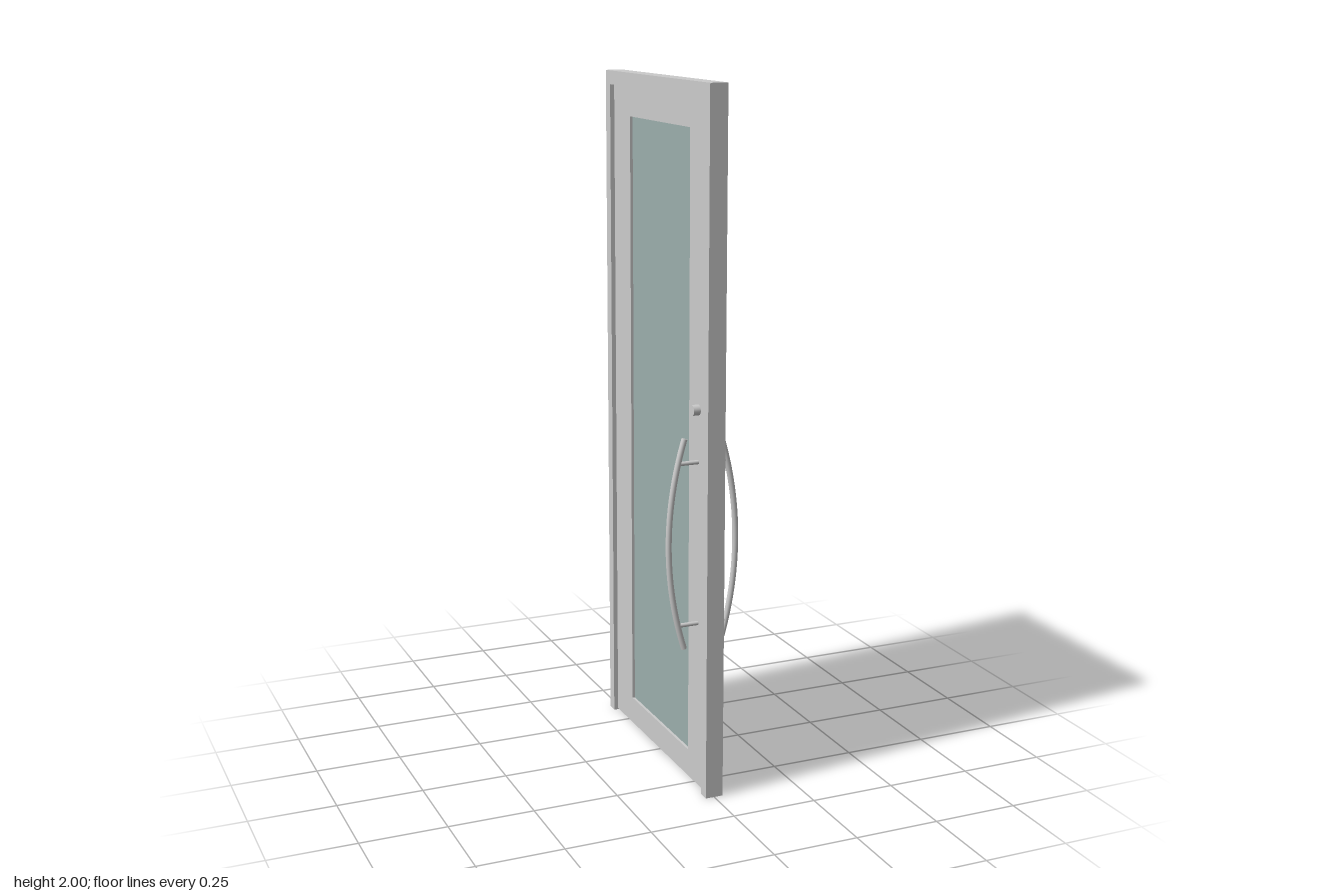
import * as THREE from 'three';

const steel = new THREE.MeshStandardMaterial({ color: 0xcccccc });
const glassTint = new THREE.MeshStandardMaterial({ color: 0x9baeac });

// rectangle outline in the door plane
function rect(PathType, halfWidth, y0, y1) {
  const p = new PathType();
  p.moveTo(-halfWidth, y0);
  p.lineTo(halfWidth, y0);
  p.lineTo(halfWidth, y1);
  p.lineTo(-halfWidth, y1);
  p.closePath();
  return p;
}

// extrude an outline to a slab centred on x = 0, lying in the zy plane
function slab(name, shape, halfDepth, material = steel) {
  const geo = new THREE.ExtrudeGeometry(shape, { depth: halfDepth * 2, bevelEnabled: false });
  geo.translate(0, 0, -halfDepth).rotateY(Math.PI / 2);
  const mesh = new THREE.Mesh(geo, material);
  mesh.name = name;
  return mesh;
}

// cylinder along x between two x positions
function rod(name, radius, xa, xb, y, z) {
  const geo = new THREE.CylinderGeometry(radius, radius, Math.abs(xb - xa), 24).rotateZ(Math.PI / 2);
  const mesh = new THREE.Mesh(geo, steel);
  mesh.position.set((xa + xb) / 2, y, z);
  mesh.name = name;
  return mesh;
}

// bowed pull handle with two posts; side is +1 or -1 along x
function pullHandle(side, z) {
  const handle = new THREE.Group();
  handle.name = side > 0 ? 'leftPullHandle' : 'rightPullHandle';
  const radius = 0.0085;
  const midY = 0.73;
  const bow = new THREE.QuadraticBezierCurve3(
    new THREE.Vector3(side * 0.055, midY - 0.305, z),
    new THREE.Vector3(side * 0.149, midY, z),
    new THREE.Vector3(side * 0.055, midY + 0.305, z));
  const grip = new THREE.Mesh(new THREE.TubeGeometry(bow, 40, radius, 20), steel);
  grip.name = 'grip';
  handle.add(grip);
  for (const t of [0, 1]) {
    const cap = new THREE.Mesh(new THREE.CircleGeometry(radius, 20), steel);
    const out = bow.getTangent(t).multiplyScalar(t ? 1 : -1);
    cap.position.copy(bow.getPoint(t));
    cap.quaternion.setFromUnitVectors(new THREE.Vector3(0, 0, 1), out);
    cap.name = 'gripEnd';
    handle.add(cap);
  }
  for (const dy of [-0.235, 0.235]) {
    handle.add(rod('handlePost', 0.006, side * 0.012, side * 0.074, midY + dy, z));
  }
  return handle;
}

export function createModel() {
  const door = new THREE.Group();
  door.name = 'door';

  // three-sided frame, open at the floor
  const W = 0.368, w = 0.335, head = 1.96;
  const frame = new THREE.Shape();
  [[-W, 0], [-w, 0], [-w, head], [w, head], [w, 0], [W, 0], [W, 2], [-W, 2]]
    .forEach(([x, y], i) => (i ? frame.lineTo(x, y) : frame.moveTo(x, y)));
  frame.closePath();
  door.add(slab('frame', frame, 0.026));

  // recessed leaf with its glazed opening
  const leaf = rect(THREE.Shape, w, 0.004, head);
  leaf.holes.push(rect(THREE.Path, 0.213, 0.085, 1.875));
  door.add(slab('leaf', leaf, 0.013));
  door.add(slab('glassPane', rect(THREE.Shape, 0.213, 0.085, 1.875), 0.005, glassTint));

  // hardware on both faces
  const hardwareZ = 0.276;
  for (const side of [1, -1]) {
    door.add(pullHandle(side, hardwareZ));
    door.add(rod('lockCylinder', 0.015, side * 0.012, side * 0.033, 1.113, hardwareZ));
  }
  return door;
}
